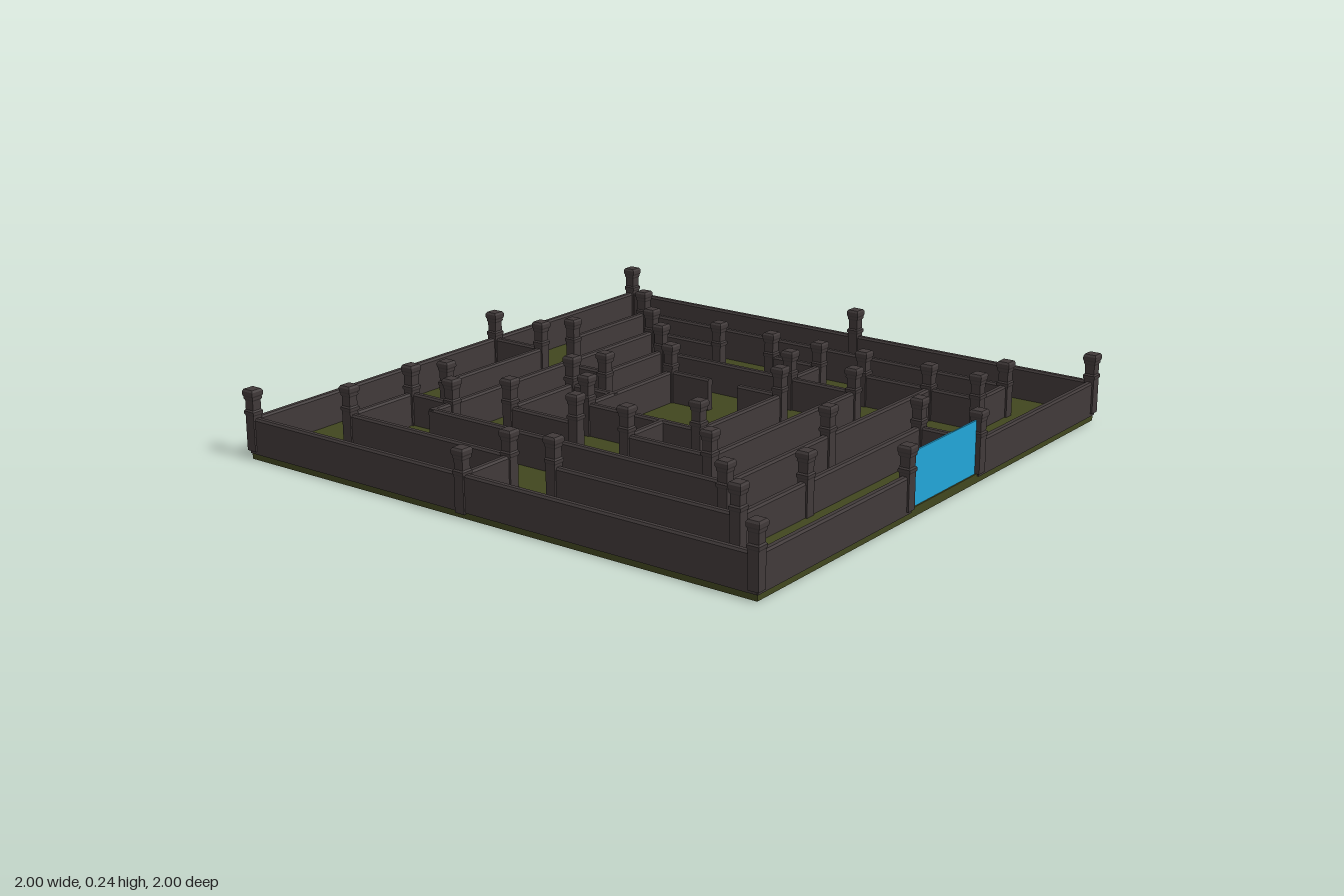
import * as THREE from 'three';

export function createModel() {
  const model = new THREE.Group();
  const grass = new THREE.MeshStandardMaterial({ name: 'mossGreen', color: 0x41461f });
  const stone = new THREE.MeshStandardMaterial({ name: 'darkStone', color: 0x403939 });
  const blue = new THREE.MeshStandardMaterial({ name: 'gateBlue', color: 0x22a5d8 });

  const add = (name, geometry, material, parent = model) => {
    const mesh = new THREE.Mesh(geometry, material);
    mesh.name = name;
    parent.add(mesh);
    return mesh;
  };

  // Ground slab
  const E = 0.977;
  add('ground', new THREE.BoxGeometry(1.97, 0.03, 1.97).translate(0, 0.015, 0), grass);

  // Walls: a chamfered section extruded from one point to the other
  const section = new THREE.Shape([
    [-0.012, 0.02], [0.012, 0.02], [0.012, 0.133], [0.007, 0.14], [-0.007, 0.14], [-0.012, 0.133],
  ].map(([x, y]) => new THREE.Vector2(x, y)));
  const walls = new THREE.Group();
  walls.name = 'walls';
  model.add(walls);
  const wall = (name, x1, z1, x2, z2) => {
    const length = Math.hypot(x2 - x1, z2 - z1) + 0.02;
    const geometry = new THREE.ExtrudeGeometry(section, { depth: length, bevelEnabled: false });
    geometry.translate(0, 0, -length / 2);
    const mesh = add(name, geometry, stone, walls);
    mesh.position.set((x1 + x2) / 2, 0, (z1 + z2) / 2);
    mesh.rotation.y = Math.atan2(x2 - x1, z2 - z1);
  };
  // Each path is a run of x, z corners
  const run = (name, path) => {
    for (let i = 0; i + 3 < path.length; i += 2) wall(name, ...path.slice(i, i + 4));
  };
  run('outerWall', [E, -0.215, E, -E, -E, -E, -E, E, E, E, E, 0.205]);
  [
    [-0.76, -0.355, -0.76, -0.77, 0.765, -0.77, 0.765, -0.585, 0.325, -0.585],
    [-0.28, -0.585, -0.58, -0.585, -0.58, 0.57, 0.58, 0.57, 0.58, -0.585],
    [-0.055, -0.585, 0.145, -0.585, 0.145, -0.405],
    [-0.58, -0.09, -0.4, -0.09, -0.4, -0.405, 0.4, -0.405, 0.4, 0.4, 0.08, 0.4, 0.08, 0.22],
    [-0.07, -0.23, -0.225, -0.23, -0.225, 0.22, 0.225, 0.22, 0.225, -0.23, 0.07, -0.23],
    [-0.225, 0.085, -0.4, 0.085, -0.4, 0.4, -0.125, 0.4],
    [-E, -0.18, -0.76, -0.18, -0.76, 0.31],
    [E, -0.215, 0.765, -0.215, 0.765, 0.765, 0.09, 0.765],
    [-0.58, 0.48, -0.76, 0.48, -0.76, 0.765, -0.085, 0.765, -0.085, E],
  ].forEach((path) => run('mazeWall', path));

  // Square pillars with a collar and a flared cap
  const profile = [
    [0.018, 0.03], [0.018, 0.148], [0.021, 0.153], [0.021, 0.162], [0.017, 0.167],
    [0.017, 0.198], [0.02, 0.203], [0.02, 0.21], [0.023, 0.216], [0.023, 0.228], [0.019, 0.235], [0, 0.236],
  ].map(([half, y]) => new THREE.Vector2(half * Math.SQRT2, y));
  const pillarGeometry = new THREE.LatheGeometry(profile, 4).rotateY(Math.PI / 4).toNonIndexed();
  pillarGeometry.computeVertexNormals();
  const pillars = new THREE.Group();
  pillars.name = 'pillars';
  model.add(pillars);
  const row = (z, xs, drop = 0) => xs.forEach((x) => {
    add('pillar', pillarGeometry, stone, pillars).position.set(x, -drop, z);
  });
  row(-E, [-E, 0.04, E]);
  row(-0.77, [-0.76, 0.765], 0.014);
  row(-0.585, [-0.58, -0.28, -0.055, 0.145, 0.325, 0.58, 0.765], 0.012);
  row(-0.405, [-0.4, 0.145]);
  row(-0.405, [0.4], 0.014);
  row(-0.355, [-0.76], 0.028);
  row(-0.23, [-0.225, 0.225]);
  row(-0.215, [0.765, E]);
  row(-0.18, [-E, -0.76]);
  row(-0.09, [-0.4], 0.028);
  row(0.025, [0.58]);
  row(0.085, [-0.4]);
  row(0.205, [E]);
  row(0.22, [-0.225, 0.225]);
  row(0.31, [-0.76], 0.028);
  row(0.4, [-0.4, -0.125, 0.08]);
  row(0.4, [0.4], 0.014);
  row(0.425, [0.765]);
  row(0.48, [-0.76]);
  row(0.48, [-0.58], 0.014);
  row(0.57, [0.58], 0.028);
  row(0.765, [-0.76, 0.09, 0.765]);
  row(0.765, [-0.085], 0.014);
  row(E, [-E, E]);
  row(E, [-0.085], 0.014);

  // Blue gate panel between the two posts on the left side
  add('gate', new THREE.BoxGeometry(0.006, 0.177, 0.385).translate(E, 0.1165, -0.002), blue);

  return model;
}
